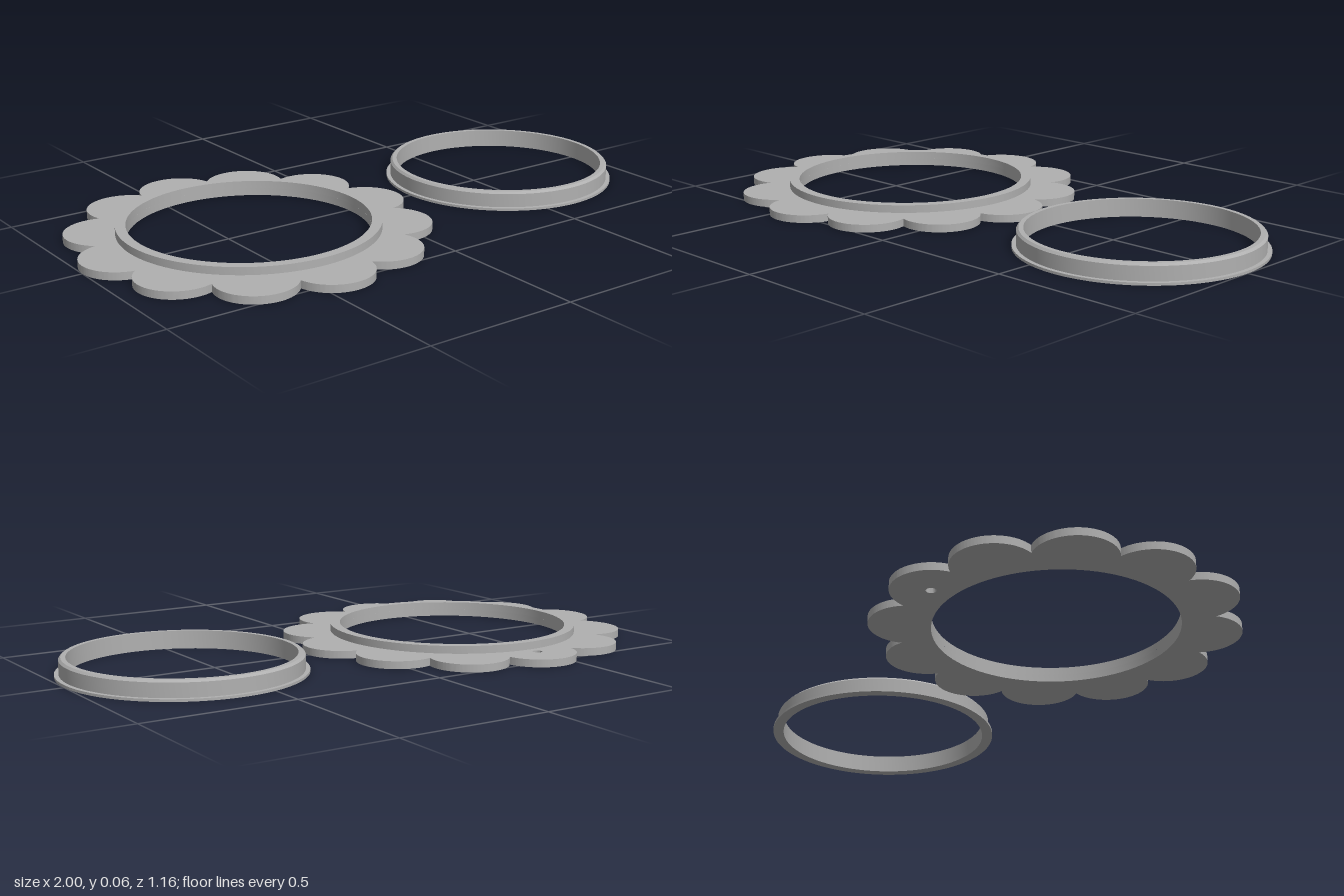
import * as THREE from 'three';
import { toCreasedNormals } from 'three/addons/utils/BufferGeometryUtils.js';

const SEGMENTS = 128;

// Revolve a [radius, height] profile, keeping its corners crisp
function revolve(profile) {
  const points = profile.map(([r, y]) => new THREE.Vector2(r, y));
  return toCreasedNormals(new THREE.LatheGeometry(points, SEGMENTS), 0.5);
}

// Scalloped outline made of overlapping circular petals
function petalOutline(count, distance, radius) {
  const shape = new THREE.Shape();
  const half = Math.PI / count;
  const notch = distance * Math.cos(half) + Math.sqrt(radius ** 2 - (distance * Math.sin(half)) ** 2);
  const sweep = Math.atan2(notch * Math.sin(half), notch * Math.cos(half) - distance);
  for (let i = 0; i < count; i++) {
    const a = i * 2 * half;
    shape.absarc(distance * Math.cos(a), distance * Math.sin(a), radius, a - sweep, a + sweep, false);
  }
  return shape;
}

function circleHole(x, y, radius) {
  return new THREE.Path().absarc(x, y, radius, 0, Math.PI * 2, true);
}

export function createModel() {
  const model = new THREE.Group();
  const grey = new THREE.MeshStandardMaterial({ color: 0xb0b0b0 });
  grey.name = 'grey';

  const add = (name, geometry, parent) => {
    const mesh = new THREE.Mesh(geometry, grey);
    mesh.name = name;
    parent.add(mesh);
  };

  // Flower frame: scalloped plate with a large opening and a small hanging hole
  const frame = new THREE.Group();
  frame.name = 'flowerFrame';
  frame.position.x = -0.422;
  model.add(frame);

  const bore = 0.384, plateTop = 0.025;
  const outline = petalOutline(12, 0.45, 0.128);
  outline.holes.push(circleHole(0, 0, bore), circleHole(0, 0.455, 0.016));
  const plate = new THREE.ExtrudeGeometry(outline, { depth: plateTop, bevelEnabled: false, curveSegments: 48 });
  plate.rotateX(-Math.PI / 2);
  add('petalPlate', toCreasedNormals(plate, 0.5), frame);

  // Raised rim around the opening
  add('raisedRim', revolve([[0.417, plateTop], [0.417, 0.05], [bore, 0.05], [bore, plateTop]]), frame);

  // Separate insert ring with a thin base flange and chamfered top edge
  const insert = new THREE.Group();
  insert.name = 'insertRing';
  insert.position.x = 0.609;
  model.add(insert);
  add('flangedRing', revolve([
    [0.355, 0], [0.391, 0], [0.391, 0.008], [0.377, 0.008],
    [0.377, 0.053], [0.37, 0.06], [0.355, 0.06], [0.355, 0],
  ]), insert);

  return model;
}
